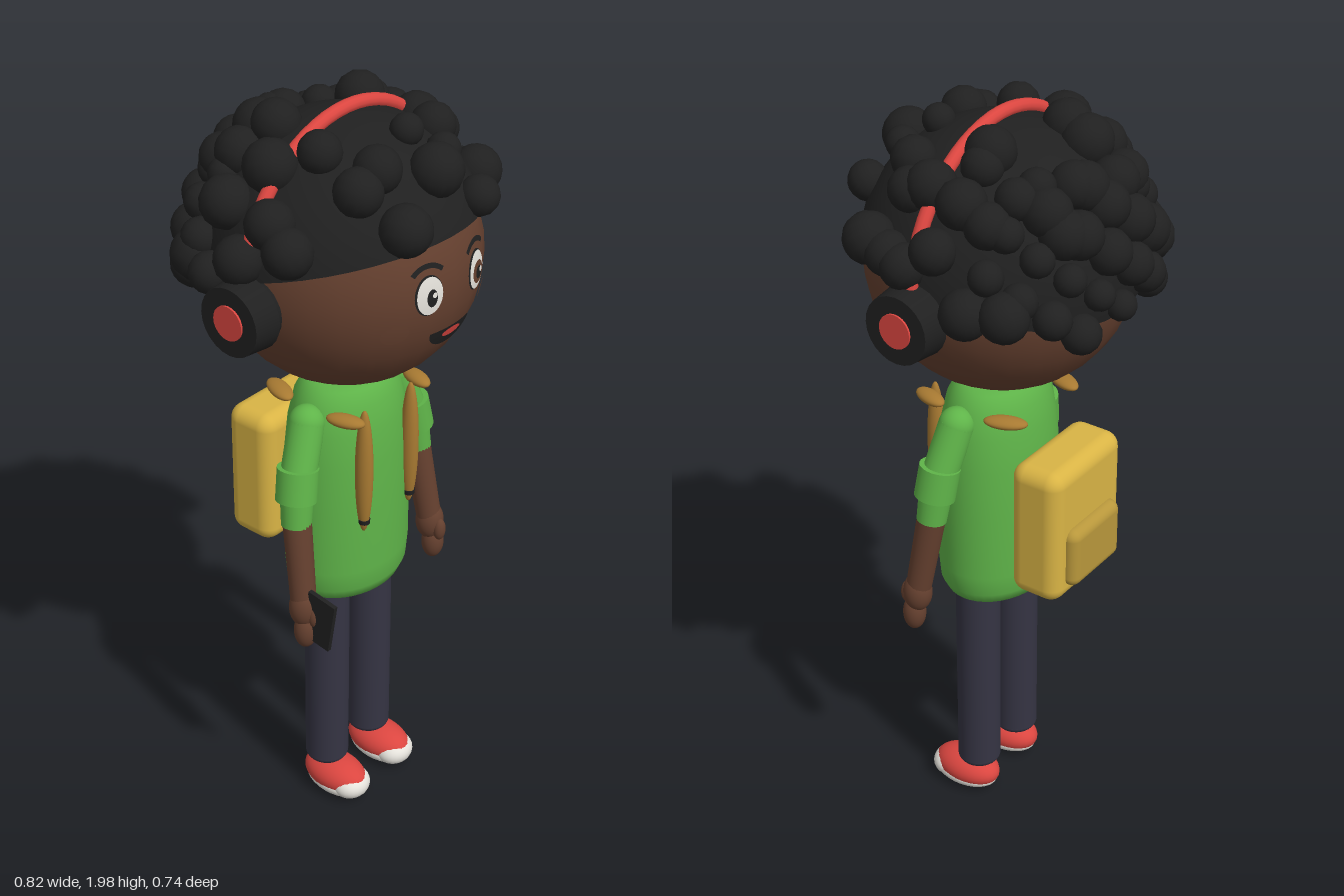
import * as THREE from 'three';
import { RoundedBoxGeometry } from 'three/addons/geometries/RoundedBoxGeometry.js';

const mat = (name, color) => {
  const m = new THREE.MeshStandardMaterial({ color });
  m.name = name;
  return m;
};

export function createModel() {
  const skin = mat('brown skin', 0x65402f), black = mat('soft black', 0x202020);
  const red = mat('red', 0xdb4640), green = mat('shirt green', 0x5fb449);
  const navy = mat('trouser navy', 0x353443), yellow = mat('backpack yellow', 0xd9b445);
  const ochre = mat('pocket ochre', 0xb8973b), tan = mat('strap tan', 0xa87a32);
  const white = mat('white', 0xe9e6df), blue = mat('screen blue', 0x5296d6);

  const model = new THREE.Group();
  model.name = 'student';
  const group = (name, parent = model) => {
    const g = new THREE.Group();
    g.name = name;
    parent.add(g);
    return g;
  };
  const add = (parent, name, geo, material, x = 0, y = 0, z = 0) => {
    const m = new THREE.Mesh(geo, material);
    m.name = name;
    m.position.set(x, y, z);
    parent.add(m);
    return m;
  };
  const ball = new THREE.SphereGeometry(1, 28, 20);
  const blob = (parent, name, material, p, r) => {
    const m = add(parent, name, ball, material, ...p);
    m.scale.set(...r);
    return m;
  };
  // tapered cylinder from point a to point b
  const limb = (parent, name, material, a, b, ra, rb) => {
    const va = new THREE.Vector3(...a), vb = new THREE.Vector3(...b);
    const d = vb.clone().sub(va);
    const m = add(parent, name, new THREE.CylinderGeometry(rb, ra, d.length(), 24), material);
    m.position.copy(va).add(vb).multiplyScalar(0.5);
    m.quaternion.setFromUnitVectors(new THREE.Vector3(0, 1, 0), d.normalize());
    return m;
  };

  // Head
  const HY = 1.61, HZ = 0.02, HR = 0.333;
  const head = group('head');
  blob(head, 'skull', skin, [0, HY, HZ], [HR - 0.008, HR - 0.003, HR]);

  // flat shape wrapped onto the front of the head
  const patch = (name, geo, material, x, y, sx, sy, lift) => {
    geo.scale(sx, sy, 1);
    const p = geo.attributes.position;
    for (let i = 0; i < p.count; i++) {
      const px = p.getX(i) + x, py = p.getY(i) + y, r = HR + lift;
      const k = (px * HR / (HR - 0.008)) ** 2 + (py - HY) ** 2;
      p.setXYZ(i, px, py, HZ + Math.sqrt(r * r - k));
    }
    geo.computeVertexNormals();
    return add(head, name, geo, material);
  };
  const disc = (start = 0, len = Math.PI * 2) => new THREE.RingGeometry(0.001, 1, 28, 5, start, len);
  for (const s of [-1, 1]) {
    const x = s * 0.085, big = s > 0;
    patch('eyeRim', disc(), black, x, 1.625, 0.038, 0.05, 0.003);
    patch('eyeWhite', disc(), white, x, 1.625, 0.035, 0.047, 0.006);
    if (big) patch('iris', disc(), skin, x, 1.622, 0.025, 0.028, 0.009);
    patch('pupil', disc(), black, x, 1.622, 0.014, big ? 0.016 : 0.022, 0.011);
    patch('eyeGlint', disc(), white, x + 0.005, 1.629, 0.006, 0.007, 0.013);
    patch('eyebrow', new THREE.RingGeometry(0.8, 1, 18, 3, Math.PI * 0.24, Math.PI * 0.52),
      black, x, 1.643, 0.06, 0.06, 0.005);
    patch('cheek', disc(), skin, s * 0.158, 1.54, 0.03, 0.026, 0.003);
    blob(head, 'ear', skin, [s * 0.31, 1.57, HZ], [0.04, 0.1, 0.06]);
  }
  patch('mouth', disc(Math.PI, Math.PI), black, 0, 1.516, 0.07, 0.05, 0.005);
  patch('tongue', disc(), red, 0, 1.502, 0.032, 0.011, 0.008);

  // Hair: a tilted cap covered with round curls
  const hair = group('hair');
  const capMat = black;
  const cap = add(hair, 'hairCap',
    new THREE.SphereGeometry(0.342, 40, 20, 0, Math.PI * 2, 0, 1.465), capMat, 0, HY, HZ);
  cap.rotation.x = -0.28;
  const rim = z => 1.65 + (z - HZ) * 0.29;
  const curlGeo = new THREE.SphereGeometry(1, 14, 10);
  const curl = (x, y, z, r) => {
    const m = add(hair, 'curl', curlGeo, black, x, y, z);
    m.scale.setScalar(r);
    m.rotation.set(x * 9, z * 7, y * 5);
  };
  // x, z, radius seen from above; heights follow the head
  const curls = [
    [0.13, -0.045, 0.06], [-0.1, 0.2, 0.057], [-0.165, 0.2, 0.058], [0.185, 0.13, 0.055],
    [0.05, 0.16, 0.04], [0.11, 0.22, 0.042], [0.035, 0.26, 0.065], [-0.12, 0.3, 0.062],
    [0.145, 0.3, 0.05], [-0.155, 0.08, 0.052], [-0.11, -0.09, 0.06], [-0.22, -0.01, 0.065],
    [-0.3, 0.06, 0.06], [-0.31, 0.12, 0.06], [-0.34, 0, 0.06], [-0.28, -0.09, 0.065],
    [-0.29, -0.18, 0.065], [-0.18, -0.14, 0.06], [-0.1, -0.15, 0.065], [0.13, -0.17, 0.045],
    [0.18, -0.15, 0.05], [0.17, -0.05, 0.05], [0.25, -0.12, 0.055], [0.3, -0.2, 0.06],
    [0.25, -0.05, 0.06], [0.24, 0.04, 0.06], [0.32, -0.02, 0.055], [0.34, 0.05, 0.055],
    [0.32, 0.16, 0.063], [0.25, 0.09, 0.055], [0.33, 0.1, 0.055], [-0.15, -0.22, 0.06],
    [-0.08, -0.24, 0.06], [0.03, -0.23, 0.06], [0.14, -0.25, 0.06],
  ];
  const CR = 0.352;
  for (const [x, z, r] of curls) {
    const k = CR * CR - x * x - (z - HZ) ** 2;
    curl(x, Math.max(HY + Math.sqrt(Math.max(k, 0)), rim(z) + 0.045), z, r);
  }
  // dense curls over the back, spread on a spiral
  for (let i = 0; i < 170; i++) {
    const v = 1 - (i + 0.5) / 85, a = i * 2.39996, h = Math.sqrt(1 - v * v);
    const x = Math.cos(a) * h * CR, y = HY + v * CR, z = HZ + Math.sin(a) * h * CR;
    if (z < -0.09 && y > rim(z) - 0.012 && y < 1.875) curl(x, y, z, 0.05 + 0.012 * Math.sin(i * 5.3));
  }

  // Headphones
  const phones = group('headphones');
  add(phones, 'headband', new THREE.TorusGeometry(0.352, 0.017, 12, 32, Math.PI), red, 0, HY, HZ + 0.002);
  for (const s of [-1, 1]) {
    const cup = (name, m, x0, x1, r0, r1) =>
      limb(phones, name, m, [s * x0, 1.575, 0.025], [s * x1, 1.575, 0.025], r0, r1);
    cup('earCushion', black, 0.315, 0.35, 0.08, 0.09);
    cup('earCup', black, 0.335, 0.405, 0.092, 0.085);
    cup('earCupDisc', red, 0.4, 0.41, 0.043, 0.043);
  }

  // Torso
  const profile = [[0, 0.67], [0.13, 0.672], [0.16, 0.685], [0.176, 0.715], [0.181, 0.77], [0.181, 0.95],
    [0.177, 1.08], [0.167, 1.17], [0.15, 1.235], [0.125, 1.275], [0.1, 1.285], [0, 1.288]]
    .map(p => new THREE.Vector2(...p));
  const shirt = add(model, 'shirt', new THREE.LatheGeometry(profile, 40), green, 0, 0, 0.03);
  shirt.scale.z = 0.78;
  limb(model, 'neck', skin, [0, 1.25, 0.025], [0, 1.33, 0.025], 0.07, 0.07);

  for (const s of [-1, 1]) {
    // Arms
    const arm = group(s > 0 ? 'leftArm' : 'rightArm');
    const P = (x, y, z) => [s * x, y, z];
    blob(arm, 'shoulder', green, P(0.162, 1.205, 0.04), [0.045, 0.045, 0.045]);
    limb(arm, 'upperSleeve', green, P(0.162, 1.205, 0.04), P(0.218, 1.07, 0.058), 0.045, 0.045);
    limb(arm, 'sleeveCuff', green, P(0.212, 1.105, 0.055), P(0.228, 1.022, 0.062), 0.052, 0.052);
    limb(arm, 'sleeveHem', green, P(0.222, 1.05, 0.06), P(0.235, 0.955, 0.068), 0.043, 0.038);
    limb(arm, 'forearm', skin, P(0.232, 0.98, 0.066), P(0.25, 0.75, 0.102), 0.037, 0.033);
    blob(arm, 'hand', skin, P(0.252, 0.73, 0.105), [0.037, 0.055, 0.038]);
    blob(arm, 'fingers', skin, P(0.256, 0.665, 0.114), [0.03, 0.05, 0.03]);
    blob(arm, 'thumb', skin, P(0.25, 0.715, 0.14), [0.018, 0.032, 0.016]);

    // Legs and shoes
    const leg = group(s > 0 ? 'leftLeg' : 'rightLeg');
    limb(leg, 'trouserLeg', navy, P(0.087, 0.12, 0.037), P(0.085, 0.72, 0.037), 0.058, 0.059);
    blob(leg, 'trouserHem', navy, P(0.087, 0.12, 0.037), [0.058, 0.03, 0.058]);
    blob(leg, 'shoe', red, P(0.092, 0.06, 0.073), [0.062, 0.05, 0.098]);
    blob(leg, 'shoeSole', white, P(0.092, 0.042, 0.079), [0.06, 0.036, 0.097]);
    blob(leg, 'shoeToe', white, P(0.092, 0.05, 0.127), [0.055, 0.04, 0.05]);

    // Backpack straps
    blob(model, 'frontStrap', tan, P(0.088, 1.075, 0.16), [0.021, 0.175, 0.024]);
    limb(model, 'strapBand', black, P(0.088, 0.925, 0.162), P(0.088, 0.937, 0.162), 0.014, 0.015);
    const front = blob(model, 'shoulderStrapFront', tan, P(0.135, 1.235, 0.14), [0.024, 0.016, 0.05]);
    front.rotation.y = -s * 0.3;
    const back = blob(model, 'shoulderStrapBack', tan, P(0.125, 1.233, -0.08), [0.026, 0.015, 0.055]);
    back.rotation.y = s * 0.4;
  }

  // Backpack
  const pack = group('backpack');
  add(pack, 'packBody', new RoundedBoxGeometry(0.3, 0.375, 0.145, 5, 0.04), yellow, 0, 0.947, -0.175);
  add(pack, 'packPocket', new RoundedBoxGeometry(0.21, 0.165, 0.06, 5, 0.027), ochre, 0, 0.882, -0.246);

  // Phone held in the right hand
  const phone = group('phone');
  phone.position.set(-0.255, 0.715, 0.16);
  phone.rotation.x = 0.15;
  add(phone, 'phoneCase', new THREE.BoxGeometry(0.012, 0.145, 0.085), black);
  add(phone, 'phoneScreen', new THREE.BoxGeometry(0.004, 0.135, 0.077), blue, 0.007);

  return model;
}
